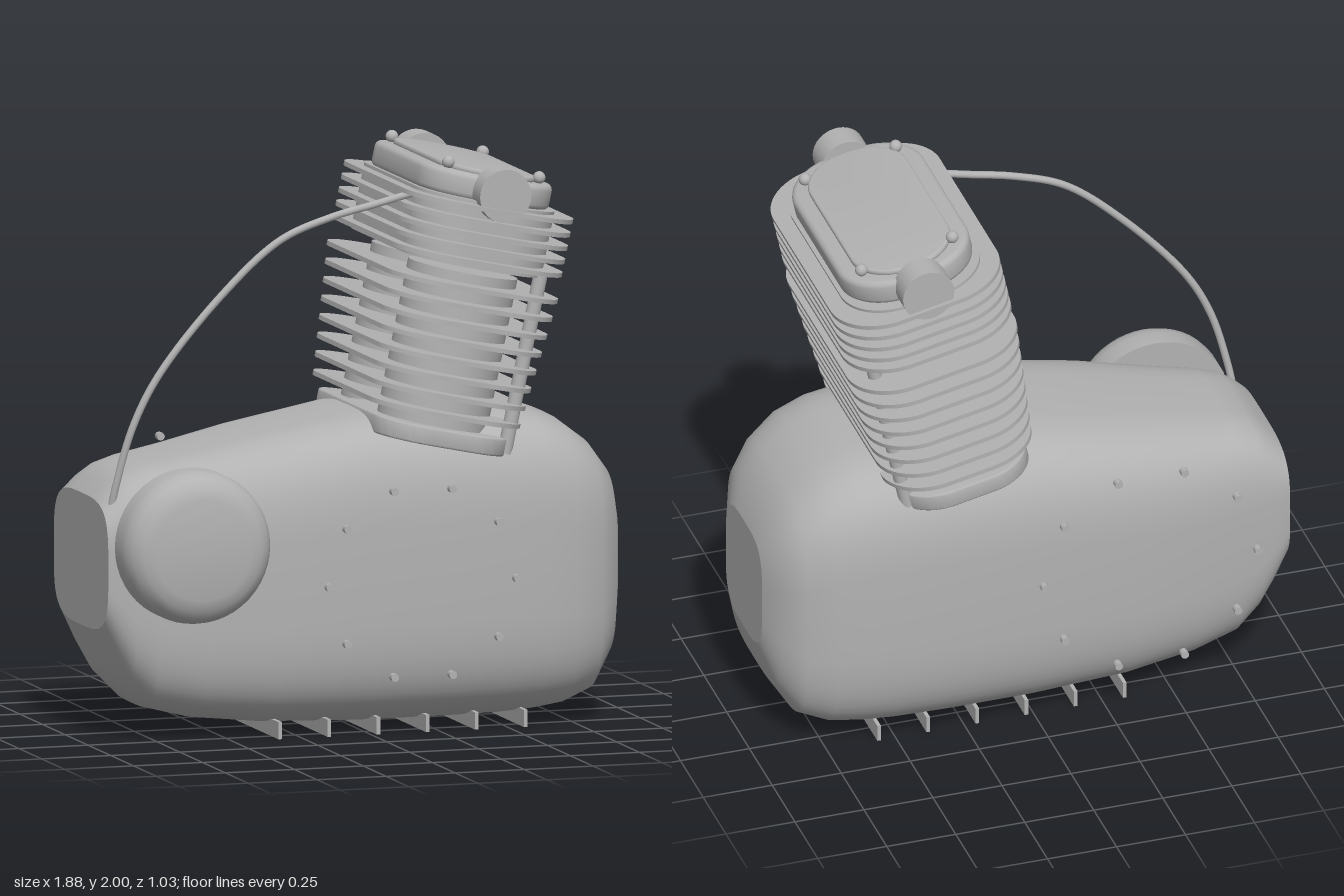
import * as THREE from 'three';
import { toCreasedNormals } from 'three/addons/utils/BufferGeometryUtils.js';

const metal = new THREE.MeshStandardMaterial({ color: 0xb2b2b2 });
metal.name = 'castMetal';

function add(parent, name, geometry, x = 0, y = 0, z = 0) {
  const mesh = new THREE.Mesh(geometry, metal);
  mesh.name = name;
  mesh.position.set(x, y, z);
  parent.add(mesh);
  return mesh;
}

// Horizontal plate with rounded corners, from height y0 to y1
function plate(hx, hz, r, y0, y1, bevel = 0) {
  const x = hx - bevel, z = hz - bevel, q = r - bevel;
  const s = new THREE.Shape();
  s.moveTo(x, -z + q);
  s.absarc(x - q, z - q, q, 0, Math.PI / 2);
  s.absarc(-x + q, z - q, q, Math.PI / 2, Math.PI);
  s.absarc(-x + q, -z + q, q, Math.PI, Math.PI * 1.5);
  s.absarc(x - q, -z + q, q, Math.PI * 1.5, Math.PI * 2);
  const g = new THREE.ExtrudeGeometry(s, {
    depth: y1 - y0 - 2 * bevel, curveSegments: 10,
    bevelEnabled: bevel > 0, bevelSize: bevel, bevelThickness: bevel, bevelSegments: 3,
  });
  g.rotateX(-Math.PI / 2);
  g.translate(0, y0 + bevel, 0);
  return toCreasedNormals(g, 0.6);
}

// Crankcase body: superellipse sections [x, bottom, top, half width] along x
function crankcaseGeometry() {
  const sections = [
    [-0.94, 0.38, 0.84, 0.3], [-0.89, 0.27, 0.89, 0.312], [-0.84, 0.18, 0.925, 0.322],
    [-0.76, 0.1, 0.95, 0.338], [-0.6, 0.06, 0.98, 0.372], [-0.35, 0.035, 1.035, 0.415],
    [0, 0.025, 1.1, 0.44], [0.3, 0.025, 1.105, 0.443], [0.5, 0.028, 1.1, 0.438],
    [0.62, 0.035, 1.085, 0.428], [0.73, 0.05, 1.045, 0.41], [0.83, 0.09, 0.97, 0.37],
    [0.9, 0.2, 0.88, 0.305], [0.94, 0.34, 0.77, 0.2],
  ];
  const N = 56, power = 2 / 3.7, pos = [], index = [];
  const ring = ([x, y0, y1, w]) => {
    const start = pos.length / 3;
    for (let j = 0; j < N; j++) {
      const t = (j / N) * Math.PI * 2, c = Math.cos(t), s = Math.sin(t);
      pos.push(x, (y0 + y1) / 2 + ((y1 - y0) / 2) * Math.sign(s) * Math.abs(s) ** power,
        -0.008 + w * Math.sign(c) * Math.abs(c) ** power);
    }
    return start;
  };
  const starts = sections.map(ring);
  for (let i = 0; i < starts.length - 1; i++) {
    for (let j = 0; j < N; j++) {
      const k = (j + 1) % N;
      const a = starts[i] + j, b = starts[i + 1] + j, c = starts[i + 1] + k, d = starts[i] + k;
      index.push(a, b, c, a, c, d);
    }
  }
  // Flat end faces with their own vertices, so that their edges stay sharp
  for (const end of [sections[0], sections[sections.length - 1]]) {
    const start = ring(end), centre = pos.length / 3;
    pos.push(end[0], (end[1] + end[2]) / 2, -0.008);
    for (let j = 0; j < N; j++) {
      const a = start + j, b = start + ((j + 1) % N);
      if (end[0] < 0) index.push(centre, a, b);
      else index.push(centre, b, a);
    }
  }
  const g = new THREE.BufferGeometry();
  g.setAttribute('position', new THREE.Float32BufferAttribute(pos, 3));
  g.setIndex(index);
  g.computeVertexNormals();
  return g;
}

export function createModel() {
  const model = new THREE.Group();
  model.name = 'engine';
  add(model, 'crankcase', crankcaseGeometry());

  // Cooling ribs under the sump
  for (let i = 0; i < 6; i++) {
    add(model, 'sumpRib', new THREE.BoxGeometry(0.013, 0.06, 0.67), -0.33 + i * 0.178, 0.03, -0.005);
  }

  // Round side cover with a soft outer rim
  const rim = [[0, 0.345], [0.267, 0.345], [0.267, 0.415], [0.261, 0.45], [0.244, 0.48],
    [0.215, 0.503], [0.175, 0.513], [0, 0.517]].map(([r, y]) => new THREE.Vector2(r, y));
  const cover = new THREE.LatheGeometry(rim, 48);
  cover.rotateX(Math.PI / 2);
  add(model, 'sideCover', toCreasedNormals(cover, 0.6), -0.667, 0.697, 0);

  // Rings of ten screws on both sides
  for (const [cx, cy, r, z] of [[0.145, 0.54, 0.34, 0.46], [-0.387, 0.582, 0.387, -0.457]]) {
    for (let i = 0; i < 10; i++) {
      const a = (i * Math.PI) / 5;
      const g = new THREE.CylinderGeometry(0.014, 0.014, 0.026, 12);
      g.rotateX(Math.PI / 2);
      add(model, 'caseScrew', g, cx + r * Math.cos(a), cy + r * Math.sin(a), z);
    }
  }

  // Tilted cylinder block; its origin is the joint between barrels and head
  const block = new THREE.Group();
  block.name = 'cylinderBlock';
  block.position.set(0.378, 1.595, -0.005);
  block.rotation.z = -THREE.MathUtils.degToRad(12);
  model.add(block);

  add(block, 'baseFlange', plate(0.243, 0.465, 0.17, -0.61, -0.548, 0.006));
  for (const side of [-1, 1]) {
    add(block, 'barrel', new THREE.CylinderGeometry(0.192, 0.192, 0.6, 40), 0, -0.308, side * 0.2);
    add(block, 'pushrodTube', new THREE.CylinderGeometry(0.025, 0.025, 0.64, 16), 0.222, -0.28, side * 0.37);
  }
  for (let i = 0; i < 8; i++) {
    const y = -0.05 - i * 0.064, k = i / 7;
    add(block, 'barrelFin', plate(0.31 - 0.036 * k, 0.507 - 0.022 * k, 0.19, y - 0.008, y + 0.008));
  }

  // Cylinder head with closer fins
  add(block, 'head', plate(0.252, 0.455, 0.19, 0.018, 0.25));
  for (let i = 0; i < 5; i++) {
    const y = 0.043 + i * 0.047;
    add(block, 'headFin', plate(0.308, 0.512, 0.2, y - 0.008, y + 0.008));
  }

  // Rocker cover, raised lid and its four bolts
  add(block, 'rockerCover', plate(0.24, 0.42, 0.19, 0.245, 0.335, 0.02));
  add(block, 'rockerLid', plate(0.18, 0.385, 0.165, 0.33, 0.352, 0.008));
  for (const sx of [-1, 1]) {
    for (const sz of [-1, 1]) {
      add(block, 'lidBolt', new THREE.SphereGeometry(0.022, 16, 12), sx * 0.168, 0.354, sz * 0.31);
    }
  }

  // Round caps at both ends of the head
  for (const side of [-1, 1]) {
    const g = new THREE.CylinderGeometry(0.093, 0.093, 0.1, 32);
    g.rotateX(Math.PI / 2);
    add(block, 'endCap', g, -0.004, 0.286, side * 0.447);
  }

  // Cable from the crankcase to the head
  const path = [[-0.91, 0.8, 0.22], [-0.893, 0.9, 0.235], [-0.84, 1.1, 0.257], [-0.75, 1.275, 0.265],
    [-0.52, 1.545, 0.265], [-0.31, 1.725, 0.265], [-0.125, 1.797, 0.265], [0.035, 1.835, 0.265],
    [0.17, 1.868, 0.265]].map((p) => new THREE.Vector3(...p));
  add(model, 'cable', new THREE.TubeGeometry(new THREE.CatmullRomCurve3(path), 60, 0.013, 12));

  return model;
}
